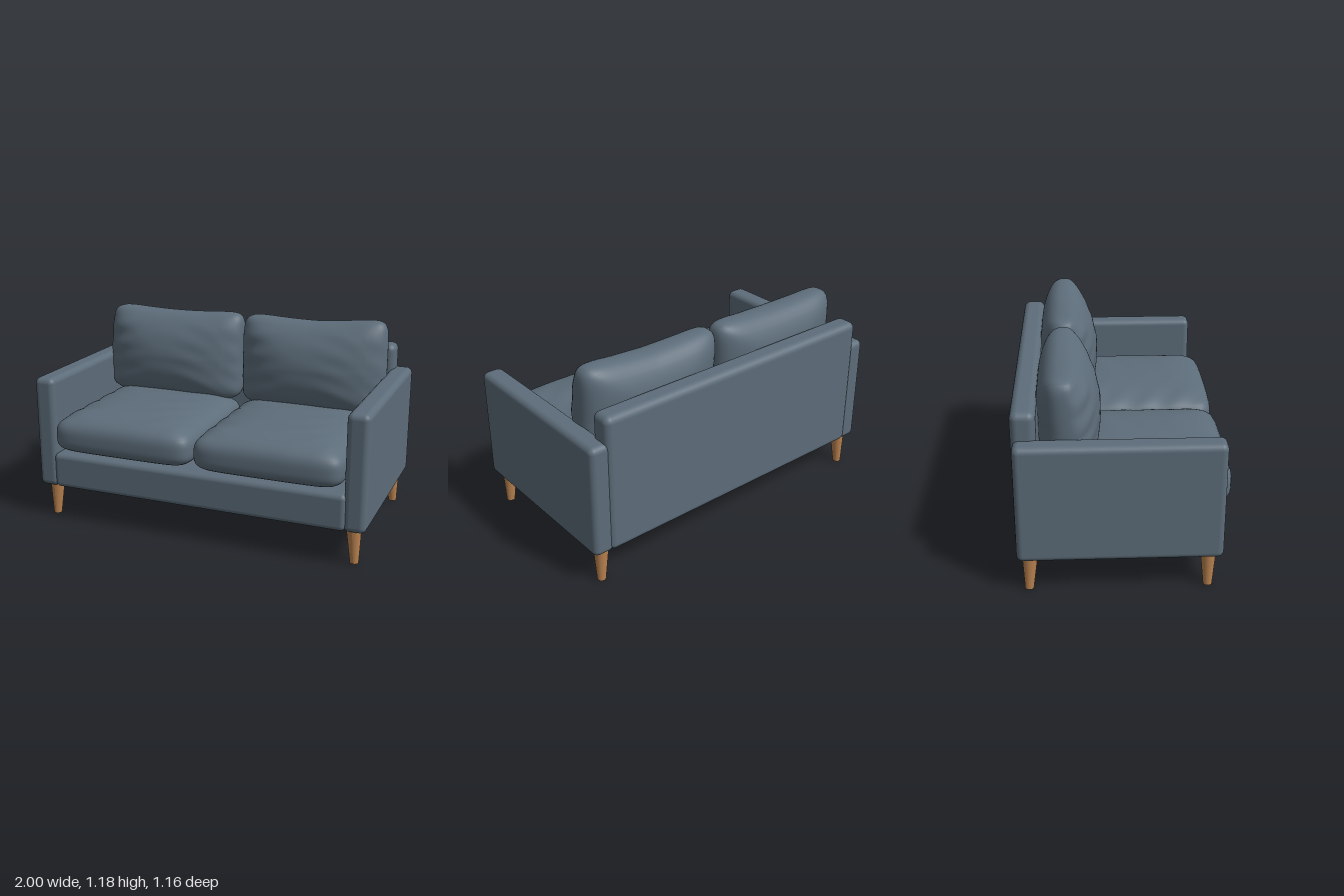
import * as THREE from 'three';
import { mergeVertices } from 'three/addons/utils/BufferGeometryUtils.js';
import { RoundedBoxGeometry } from 'three/addons/geometries/RoundedBoxGeometry.js';

// Soft block reshaped by a rule on unit coordinates (-1..1), with smooth shared normals
function softBlock(nx, ny, nz, rule) {
  const geo = new THREE.BoxGeometry(2, 2, 2, nx, ny, nz);
  geo.deleteAttribute('normal');
  geo.deleteAttribute('uv');
  const merged = mergeVertices(geo, 1e-4);
  const pos = merged.attributes.position;
  const p = new THREE.Vector3();
  for (let i = 0; i < pos.count; i++) {
    rule(p.fromBufferAttribute(pos, i));
    pos.setXYZ(i, p.x, p.y, p.z);
  }
  merged.computeVertexNormals();
  return merged;
}

// Pull a cube point onto a pillow: square outline in a/b, puffy along c
function puff(p, a, b, c, square, puffy) {
  const q = Math.pow(Math.abs(p[a]) ** square + Math.abs(p[b]) ** square, 1 / square);
  p.divideScalar(Math.pow(q ** puffy + Math.abs(p[c]) ** puffy, 1 / puffy));
}

// Gentle diagonal cloth folds, fading out towards the middle
const folds = (u, v) =>
  0.004 * Math.sin(15 * v + 7 * u * u + 3 * u) * Math.sin(3 * u + 1) * Math.min(1, Math.abs(u) + 0.2);

export function createModel() {
  const sofa = new THREE.Group();
  sofa.name = 'sofa';
  const fabric = new THREE.MeshStandardMaterial({ color: 0x5d6d7a });
  fabric.name = 'slate fabric';
  const wood = new THREE.MeshStandardMaterial({ color: 0xb98250 });
  wood.name = 'light wood';

  const add = (name, geo, mat) => {
    const mesh = new THREE.Mesh(geo, mat);
    mesh.name = name;
    sofa.add(mesh);
    return mesh;
  };

  // Rounded upholstered panel given by its limits
  const panel = (name, x0, x1, y0, y1, z0, z1, r) =>
    add(name, new RoundedBoxGeometry(x1 - x0, y1 - y0, z1 - z0, 5, r), fabric)
      .position.set((x0 + x1) / 2, (y0 + y1) / 2, (z0 + z1) / 2);

  panel('seatBase', -0.89, 0.89, 0.2, 0.41, -0.52, 0.525, 0.03);
  panel('backrest', -0.908, 0.908, 0.2, 1.01, -0.582, -0.45, 0.04);

  for (const side of [-1, 1]) {
    const label = side > 0 ? 'left' : 'right';
    panel(label + 'Arm', side * 0.937 - 0.063, side * 0.937 + 0.063, 0.197, 0.862, -0.572, 0.517, 0.035);

    // Seat cushion: square from above, domed top and bulging front
    const seat = softBlock(40, 16, 40, p => {
      puff(p, 'x', 'z', 'y', 12, 3.4);
      const { x, y, z } = p;
      const dome = y > 0 ? 0.155 - 0.012 * x * x : 0.115;
      p.set(
        side * 0.438 + x * 0.434,
        0.525 + y * dome + (y > 0 ? folds(x, z) * 0.8 : 0),
        0.125 + z * (0.455 - (z > 0 ? 0.02 * x ** 4 : 0))
      );
    });
    add(label + 'SeatCushion', seat, fabric);

    // Back cushion: bulging front, narrower leaning top with raised corners
    const rise = side > 0 ? 0.022 : 0.0;
    const back = softBlock(44, 32, 14, p => {
      puff(p, 'x', 'y', 'z', 9, 2.8);
      const { x, y, z } = p;
      const up = Math.max(0, y);
      const outer = side * x;
      const front = z > 0 ? 1 - 0.25 * x * x : 1;
      p.set(
        side * (0.453 - 0.006 * up) + x * 0.444,
        0.885 + y * 0.265 + up * (0.026 * x * x + (outer > 0 ? rise * outer : 0)),
        -0.285 - 0.03 * up + z * 0.172 * (1 - 0.26 * up * up) * front + (z > 0 ? folds(x, y) : 0)
      );
    });
    add(label + 'BackCushion', back, fabric);

    // Tapered legs, splayed slightly outwards
    for (const [name, zTop, zFoot] of [['FrontLeg', 0.442, 0.444], ['BackLeg', -0.503, -0.513]]) {
      const leg = new THREE.CylinderGeometry(0.044, 0.024, 0.22, 24);
      leg.translate(0, 0.11, 0);
      const pos = leg.attributes.position;
      for (let i = 0; i < pos.count; i++) {
        const t = pos.getY(i) / 0.22;
        pos.setX(i, pos.getX(i) + side * THREE.MathUtils.lerp(0.931, 0.92, t));
        pos.setZ(i, pos.getZ(i) + THREE.MathUtils.lerp(zFoot, zTop, t));
      }
      leg.computeVertexNormals();
      add(label + name, leg, wood);
    }
  }
  return sofa;
}
